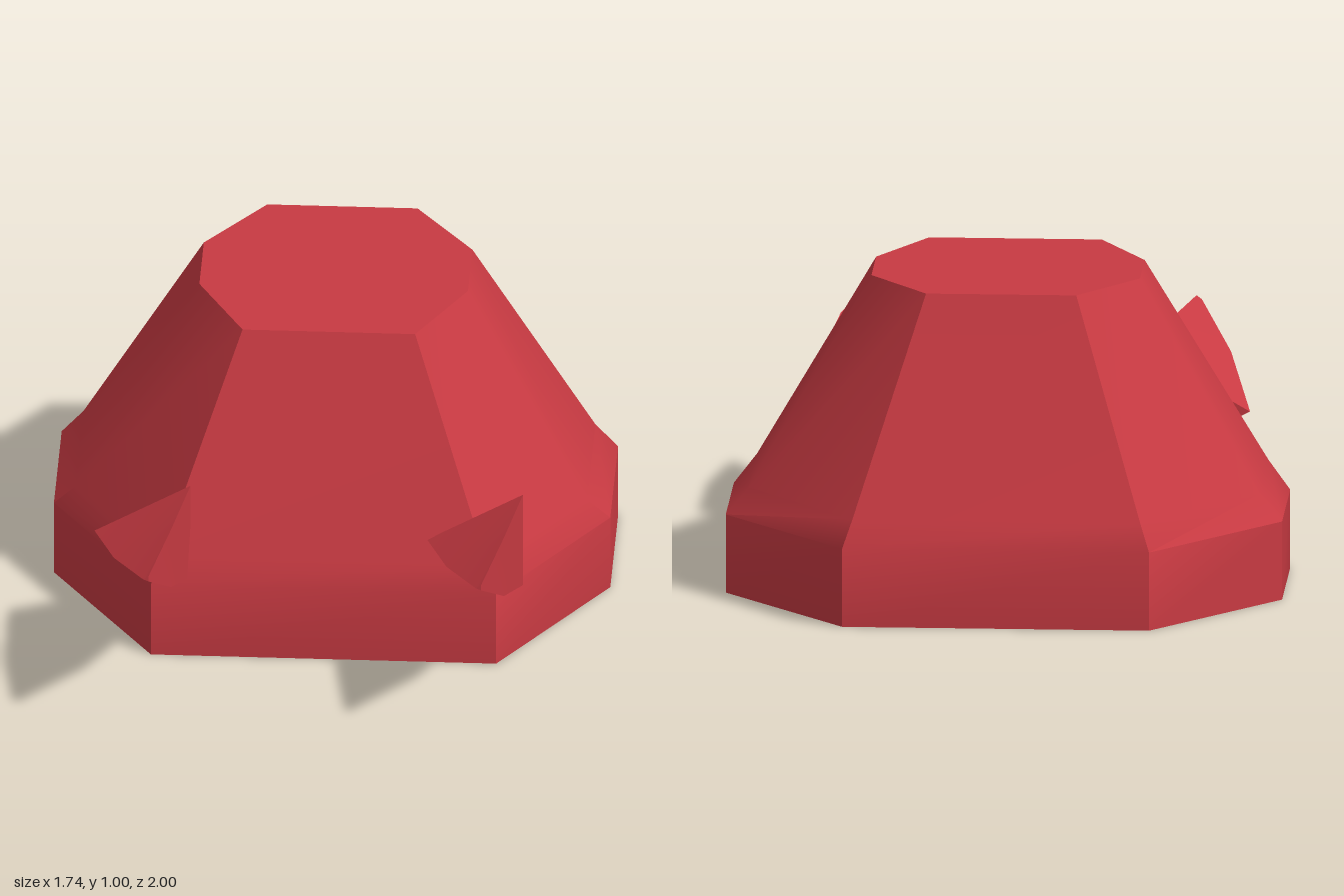
import * as THREE from 'three';
import { toCreasedNormals } from 'three/addons/utils/BufferGeometryUtils.js';

// Skin a stack of matching rings (counter-clockwise seen from the far end) and cap both ends.
function loft(rings, crease) {
  const pos = [];
  const tri = (a, b, c) => pos.push(...a, ...b, ...c);
  const n = rings[0].length;
  for (let i = 0; i < rings.length - 1; i++) {
    for (let j = 0; j < n; j++) {
      const k = (j + 1) % n;
      tri(rings[i][j], rings[i][k], rings[i + 1][k]);
      tri(rings[i][j], rings[i + 1][k], rings[i + 1][j]);
    }
  }
  const first = rings[0], last = rings[rings.length - 1];
  for (let j = 1; j < n - 1; j++) {
    tri(first[0], first[j + 1], first[j]);
    tri(last[0], last[j], last[j + 1]);
  }
  const geometry = new THREE.BufferGeometry();
  geometry.setAttribute('position', new THREE.Float32BufferAttribute(pos, 3));
  return toCreasedNormals(geometry, crease);
}

// Eight-sided ring at height y; the half outline runs from front to back and is mirrored.
function octagon(y, half) {
  const right = half.map(([x, z]) => [x, y, z]);
  const left = half.map(([x, z]) => [-x, y, z]).reverse();
  return [...right, ...left];
}

export function createModel() {
  const model = new THREE.Group();
  const red = new THREE.MeshStandardMaterial({ color: 0xc83a42 });
  red.name = 'red';

  // Body: straight base band, slight flare, then a taper to the flat top
  const base = [[0.54, 0.41], [0.87, -0.09], [0.87, -0.54], [0.48, -1]];
  const flare = [[0.51, 0.377], [0.8, -0.05], [0.8, -0.525], [0.45, -0.96]];
  const crown = [[0.27, 0.1], [0.42, -0.18], [0.42, -0.44], [0.235, -0.69]];
  const body = new THREE.Mesh(
    loft([octagon(0, base), octagon(0.25, base), octagon(0.335, flare), octagon(1, crown)], 0.6), red);
  body.name = 'body';
  model.add(body);

  // Horns: three-sided spikes pointing forward, the same shape on both sides
  const hornGeometry = loft([
    [[-0.2, 0.4, 0.34], [0.1, 0.245, 0.34], [0.1, 0.57, 0.34]],
    [[-0.12, 0.51, 0.7], [0.06, 0.41, 0.7], [0.06, 0.62, 0.7]],
    [[-0.012, 0.607, 1], [0.005, 0.6, 1], [0.005, 0.62, 1]],
  ], 0.6);
  for (const [name, x] of [['rightHorn', -0.52], ['leftHorn', 0.52]]) {
    const horn = new THREE.Mesh(hornGeometry, red);
    horn.name = name;
    horn.position.x = x;
    model.add(horn);
  }

  return model;
}
